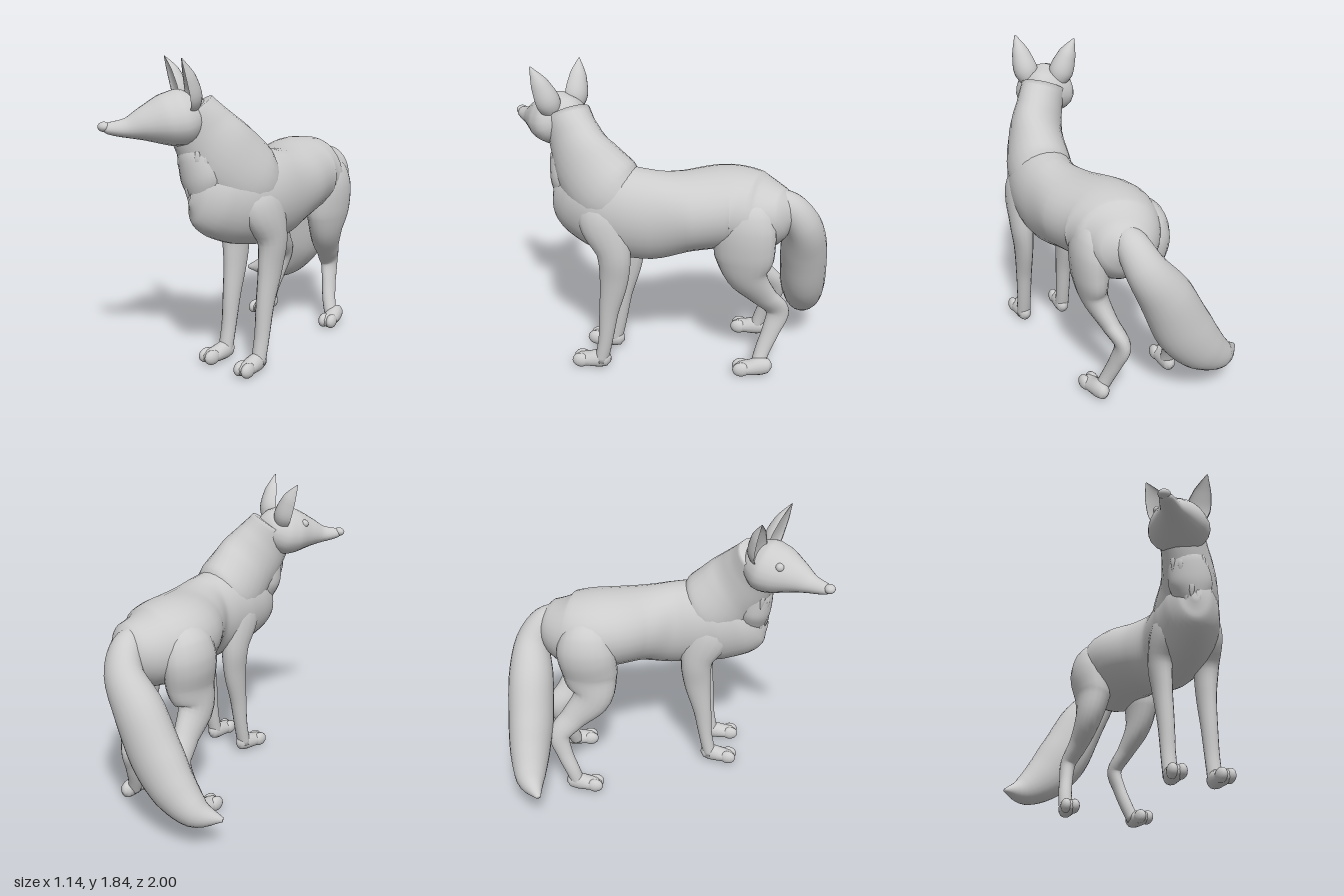
import * as THREE from 'three';

const fur = new THREE.MeshStandardMaterial({ color: 0xcccccc });
fur.name = 'plain grey';

const Y = new THREE.Vector3(0, 1, 0);
const Z = new THREE.Vector3(0, 0, 1);
const FACING = new THREE.Vector3(-0.49, 0, 0.87); // the way the turned head looks

// Smooth skin over sections [x, y, z, halfWidth, halfDepth]; hint points along the depth axis.
function loft(name, sections, hint, { sides = 24, steps = 5, taper = 0, cup = 0 } = {}) {
  const path = new THREE.CatmullRomCurve3(sections.map(s => new THREE.Vector3(s[0], s[1], s[2])));
  const size = new THREE.CatmullRomCurve3(sections.map(s => new THREE.Vector3(s[3], s[4], 0)));
  const rings = (sections.length - 1) * steps;
  const pos = [], index = [];
  for (let i = 0; i <= rings; i++) {
    const t = i / rings;
    const c = path.getPoint(t), r = size.getPoint(t), T = path.getTangent(t);
    const U = new THREE.Vector3().crossVectors(hint, T).normalize();
    const V = new THREE.Vector3().crossVectors(T, U);
    for (let j = 0; j < sides; j++) {
      const a = (j / sides) * Math.PI * 2;
      let v = Math.sin(a);
      const u = Math.cos(a) * (1 + taper * v);
      if (cup && v > 0) v *= -cup; // hollow the front side
      const p = c.clone().addScaledVector(U, u * Math.max(r.x, 0.003)).addScaledVector(V, v * Math.max(r.y, 0.003));
      pos.push(p.x, p.y, p.z);
    }
  }
  for (let i = 0; i < rings; i++) {
    for (let j = 0; j < sides; j++) {
      const k = (j + 1) % sides;
      const a = i * sides + j, b = i * sides + k;
      index.push(a, b, a + sides, b, b + sides, a + sides);
    }
  }
  // end caps
  const first = path.getPoint(0), last = path.getPoint(1);
  const n = pos.length / 3;
  pos.push(first.x, first.y, first.z, last.x, last.y, last.z);
  for (let j = 0; j < sides; j++) {
    const k = (j + 1) % sides, e = rings * sides;
    index.push(n, k, j, n + 1, e + j, e + k);
  }
  const g = new THREE.BufferGeometry();
  g.setAttribute('position', new THREE.Float32BufferAttribute(pos, 3));
  g.setIndex(index);
  g.computeVertexNormals();
  const m = new THREE.Mesh(g, fur);
  m.name = name;
  return m;
}

function ball(name, x, y, z, rx, ry = rx, rz = rx) {
  const m = new THREE.Mesh(new THREE.SphereGeometry(1, 20, 14), fur);
  m.name = name;
  m.position.set(x, y, z);
  m.scale.set(rx, ry, rz);
  return m;
}

// Paw: a rounded foot from heel to front with two toes
function paw(name, x, z, yaw) {
  const g = new THREE.Group();
  g.name = name;
  g.add(loft('foot', [
    [0, 0.06, -0.145, 0.012, 0.015], [0, 0.062, -0.125, 0.036, 0.045], [0, 0.06, -0.07, 0.048, 0.056],
    [0, 0.05, 0, 0.052, 0.046], [0, 0.047, 0.05, 0.05, 0.041], [0, 0.046, 0.08, 0.015, 0.018],
  ], Y, { sides: 16, steps: 4 }));
  for (const s of [-1, 1]) g.add(ball('toe', s * 0.027, 0.049, 0.042, 0.032, 0.045, 0.053));
  g.position.set(x, 0, z);
  g.rotation.y = yaw;
  return g;
}

export function createModel() {
  const fox = new THREE.Group();
  fox.name = 'fox';

  // Curved trunk, rump to chest
  fox.add(loft('torso', [
    [0.19, 1.06, -0.82, 0.03, 0.05], [0.18, 1.05, -0.765, 0.15, 0.14], [0.15, 1.02, -0.62, 0.245, 0.235],
    [0.145, 1.035, -0.43, 0.285, 0.245], [0.25, 1.02, -0.2, 0.25, 0.24], [0.32, 1.0, 0, 0.208, 0.275],
    [0.335, 1.01, 0.15, 0.212, 0.28], [0.325, 1.03, 0.32, 0.2, 0.27], [0.3, 1.06, 0.47, 0.16, 0.235],
    [0.28, 1.09, 0.57, 0.1, 0.17], [0.265, 1.1, 0.615, 0.03, 0.07],
  ], Y, { sides: 28, taper: 0.04 }));

  // Neck rising to the turned head
  fox.add(loft('neck', [
    [0.34, 1.02, 0.1, 0.16, 0.15], [0.335, 1.13, 0.27, 0.2, 0.245], [0.305, 1.28, 0.41, 0.17, 0.23],
    [0.25, 1.42, 0.5, 0.142, 0.19], [0.2, 1.54, 0.56, 0.135, 0.15],
  ], Y));

  // Head with cheeks narrowing to a long muzzle
  fox.add(loft('head', [
    [0.25, 1.53, 0.48, 0.05, 0.06], [0.22, 1.525, 0.53, 0.135, 0.12], [0.175, 1.505, 0.615, 0.185, 0.158],
    [0.135, 1.495, 0.69, 0.17, 0.143], [0.085, 1.478, 0.78, 0.115, 0.1], [0.03, 1.458, 0.87, 0.062, 0.055],
    [-0.03, 1.458, 0.955, 0.038, 0.031], [-0.045, 1.46, 0.98, 0.012, 0.012],
  ], Y, { taper: -0.16 }));
  fox.add(ball('nose', -0.042, 1.466, 0.966, 0.038, 0.028, 0.034));
  fox.add(ball('leftEye', 0.197, 1.56, 0.76, 0.026));
  fox.add(ball('rightEye', 0.02, 1.56, 0.67, 0.026));

  // Hollow pointed ears
  fox.add(loft('leftEar', [
    [0.255, 1.53, 0.625, 0.04, 0.05], [0.285, 1.63, 0.65, 0.078, 0.08],
    [0.305, 1.74, 0.69, 0.055, 0.06], [0.325, 1.84, 0.73, 0.004, 0.005],
  ], FACING, { cup: 0.3 }));
  fox.add(loft('rightEar', [
    [0.115, 1.53, 0.56, 0.04, 0.05], [0.08, 1.63, 0.555, 0.078, 0.08],
    [0.035, 1.74, 0.555, 0.055, 0.06], [-0.01, 1.83, 0.555, 0.004, 0.005],
  ], FACING, { cup: 0.3 }));

  // Chest ruff with pointed locks
  fox.add(loft('chestRuff', [
    [0.22, 1.42, 0.54, 0.06, 0.05], [0.245, 1.3, 0.54, 0.12, 0.11], [0.268, 1.18, 0.53, 0.135, 0.115],
    [0.28, 1.07, 0.52, 0.1, 0.1], [0.285, 0.96, 0.53, 0.03, 0.05],
  ], Z));
  for (let row = 0; row < 4; row++) {
    const count = 6 - row;
    for (let i = 0; i < count; i++) {
      const a = ((i + 0.5) / count - 0.5) * 2.5;
      const x = 0.25 + row * 0.01 + (0.125 - row * 0.015) * Math.sin(a);
      const z = 0.53 - row * 0.006 + 0.108 * Math.cos(a);
      const y = 1.33 - row * 0.07 - (i % 2) * 0.03;
      const out = new THREE.Vector3(Math.sin(a), 0, Math.cos(a));
      fox.add(loft('furLock', [
        [x, y, z, 0.012, 0.006], [x, y - 0.05, z, 0.02, 0.012], [x, y - 0.12, z - 0.012, 0.003, 0.003],
      ], out, { sides: 6, steps: 3 }));
    }
  }

  // Front legs, the same shape on both sides
  for (const [name, x, s] of [['left', 0.475, 1], ['right', 0.203, -1]]) {
    fox.add(loft(name + 'FrontLeg', [
      [x - s * 0.06, 1.16, 0.27, 0.05, 0.09], [x - s * 0.015, 1.0, 0.25, 0.095, 0.16],
      [x + s * 0.012, 0.8, 0.185, 0.075, 0.105], [x + s * 0.005, 0.62, 0.19, 0.06, 0.088],
      [x, 0.4, 0.228, 0.05, 0.06], [x, 0.2, 0.254, 0.045, 0.045], [x, 0.05, 0.285, 0.045, 0.042],
    ], Z, { sides: 16 }));
    fox.add(paw(name + 'FrontPaw', x + s * 0.005, 0.37, s * 0.08));
  }

  // Hind legs, placed in different steps of the stride
  fox.add(loft('leftHindLeg', [
    [0.22, 1.17, -0.55, 0.04, 0.07], [0.285, 1.05, -0.56, 0.105, 0.165], [0.305, 0.95, -0.56, 0.11, 0.185],
    [0.305, 0.8, -0.56, 0.1, 0.18],
    [0.285, 0.66, -0.575, 0.08, 0.13], [0.225, 0.51, -0.67, 0.055, 0.085], [0.175, 0.4, -0.75, 0.046, 0.072],
    [0.2, 0.27, -0.72, 0.04, 0.055], [0.235, 0.15, -0.68, 0.04, 0.047], [0.275, 0.05, -0.655, 0.04, 0.042],
  ], Z, { sides: 18 }));
  fox.add(paw('leftHindPaw', 0.308, -0.605, 0.25));
  fox.add(loft('rightHindLeg', [
    [0.04, 1.18, -0.5, 0.04, 0.07], [-0.045, 1.06, -0.49, 0.125, 0.165], [-0.072, 0.96, -0.49, 0.128, 0.185],
    [-0.06, 0.8, -0.47, 0.11, 0.175],
    [-0.085, 0.66, -0.46, 0.085, 0.13], [-0.12, 0.51, -0.58, 0.062, 0.085], [-0.165, 0.4, -0.67, 0.05, 0.07],
    [-0.185, 0.27, -0.64, 0.043, 0.053], [-0.2, 0.15, -0.59, 0.043, 0.047], [-0.2, 0.05, -0.555, 0.044, 0.042],
  ], Z, { sides: 18 }));
  fox.add(paw('rightHindPaw', -0.2, -0.485, 0));

  // Bushy tail sweeping down to the right
  fox.add(loft('tail', [
    [0.16, 1.12, -0.66, 0.06, 0.06], [0.14, 1.07, -0.78, 0.095, 0.09], [0.085, 0.94, -0.86, 0.12, 0.11],
    [-0.04, 0.74, -0.86, 0.158, 0.142], [-0.16, 0.5, -0.85, 0.172, 0.143], [-0.29, 0.33, -0.84, 0.148, 0.125],
    [-0.43, 0.228, -0.81, 0.095, 0.09], [-0.565, 0.2, -0.735, 0.012, 0.015],
  ], Z));

  return fox;
}
